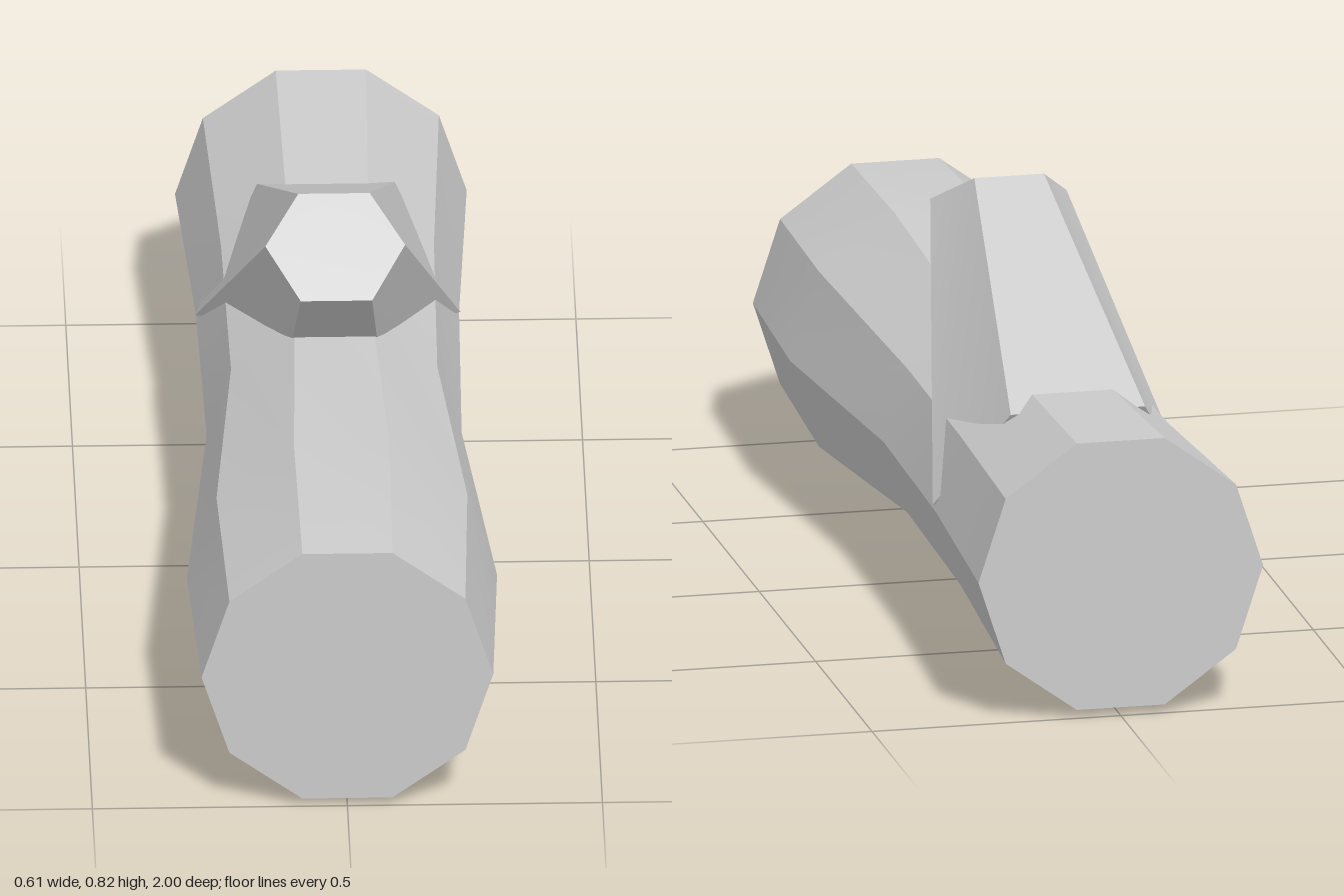
import * as THREE from 'three';
import { toCreasedNormals } from 'three/addons/utils/BufferGeometryUtils.js';

const CREASE = Math.PI / 6;

// Ten-sided trunk lying along z, pinched in the middle
function trunkGeometry() {
  const profile = [[0, -1], [0.286, -1], [0.258, -0.5], [0.25, 0], [0.304, 0.59], [0.286, 1], [0, 1]];
  const geometry = new THREE.LatheGeometry(
    profile.map(([r, z]) => new THREE.Vector2(r, z)), 10, Math.PI / 2);
  geometry.rotateX(Math.PI / 2);
  geometry.translate(0, 0.29, 0);
  return toCreasedNormals(geometry, CREASE);
}

// Sawn-off branch: faces of the +x half, mirrored to the other side
function branchGeometry() {
  const p = {
    top: [0.07, 0.82, -0.01], mid: [0.137, 0.755, 0.085], low: [0.07, 0.683, 0.18],
    topRoot: [0.135, 0.515, -0.62], midRoot: [0.26, 0.3, -0.48], lowRoot: [0.14, 0.467, -0.112],
    throat: [0.085, 0.5, 0.02],
  };
  // Matching points on the centre plane
  for (const name of ['top', 'low', 'topRoot', 'midRoot', 'throat']) {
    p[name + '0'] = [0, p[name][1], p[name][2]];
  }
  const faces = [
    ['mid', 'top', 'top0', 'low0', 'low'],          // cut end
    ['top', 'topRoot', 'topRoot0', 'top0'],         // upper face
    ['midRoot', 'topRoot', 'top', 'mid'],           // upper flank
    ['low', 'lowRoot', 'midRoot', 'mid'],           // lower flank
    ['low0', 'throat0', 'throat', 'low'],           // underside
    ['low', 'throat', 'lowRoot'],                   // underside corner
    ['topRoot', 'midRoot', 'midRoot0', 'topRoot0'], // buried root
  ];
  const positions = [];
  for (const side of [1, -1]) {
    for (const face of faces) {
      for (let i = 1; i < face.length - 1; i++) {
        const corners = side > 0 ? [0, i, i + 1] : [0, i + 1, i];
        for (const c of corners) {
          const [x, y, z] = p[face[c]];
          positions.push(side * x, y, z);
        }
      }
    }
  }
  const geometry = new THREE.BufferGeometry();
  geometry.setAttribute('position', new THREE.Float32BufferAttribute(positions, 3));
  return toCreasedNormals(geometry, CREASE / 2);
}

export function createModel() {
  const group = new THREE.Group();
  group.name = 'log';
  const material = new THREE.MeshStandardMaterial({ color: 0xcccccc });
  const add = (name, geometry) => {
    const mesh = new THREE.Mesh(geometry, material);
    mesh.name = name;
    group.add(mesh);
  };
  add('trunk', trunkGeometry());
  add('branchStub', branchGeometry());
  return group;
}
